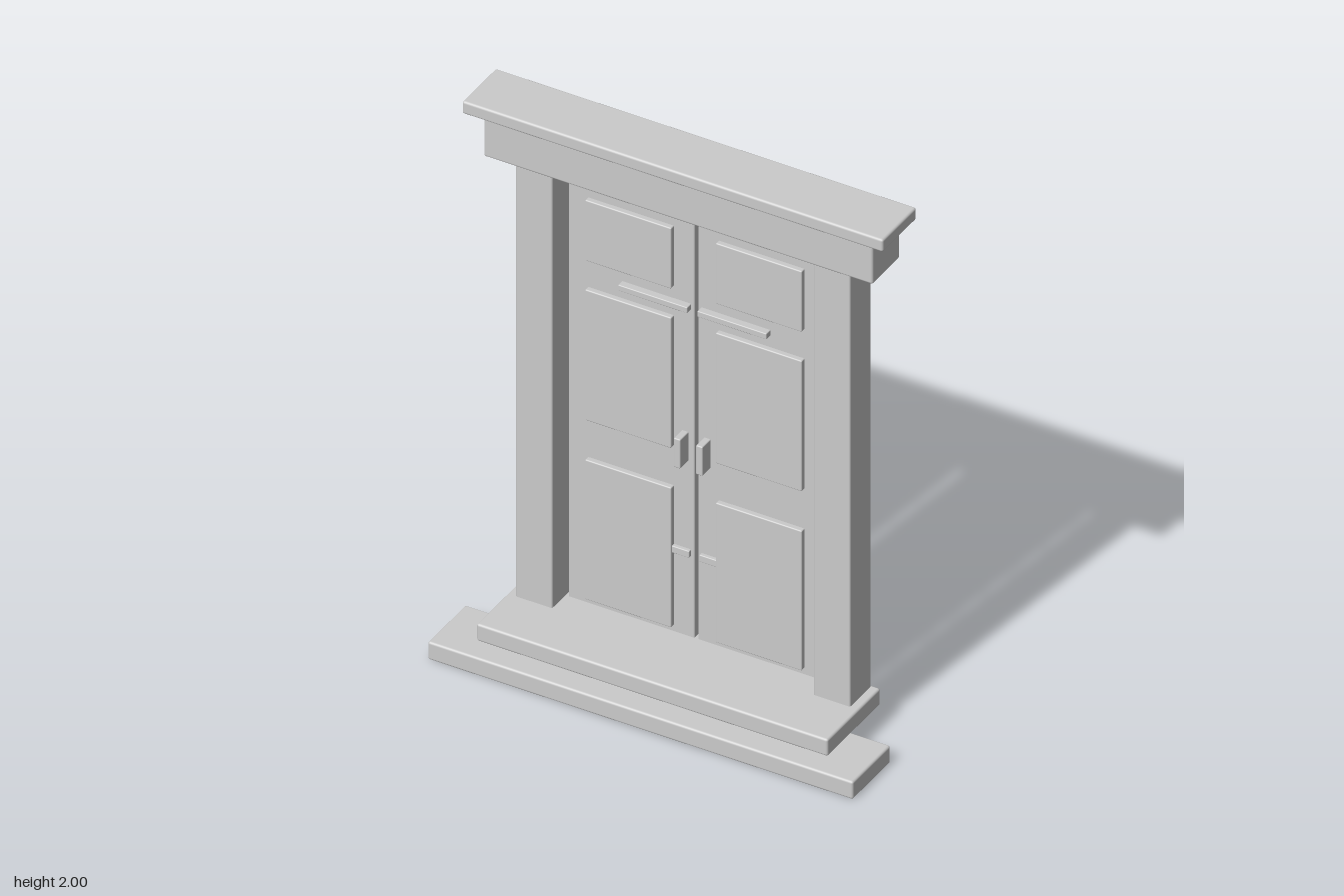
import * as THREE from 'three';
import { RoundedBoxGeometry } from 'three/addons/geometries/RoundedBoxGeometry.js';

const material = new THREE.MeshStandardMaterial({ color: 0xcccccc });

// Box with softened edges, given by its [min, max] range on each axis
function block(name, [x0, x1], [y0, y1], [z0, z1], radius = 0.008) {
  const geometry = new RoundedBoxGeometry(x1 - x0, y1 - y0, z1 - z0, 2, radius);
  const mesh = new THREE.Mesh(geometry, material);
  mesh.position.set((x0 + x1) / 2, (y0 + y1) / 2, (z0 + z1) / 2);
  mesh.name = name;
  return mesh;
}

export function createModel() {
  const model = new THREE.Group();
  model.name = 'doubleDoorway';

  // Steps
  model.add(block('lowerStep', [-0.765, 0.765], [0, 0.067], [-0.03, 0.205]));
  model.add(block('upperStep', [-0.632, 0.632], [0.073, 0.137], [-0.197, 0.132]));

  // Lintel and cornice
  model.add(block('lintel', [-0.7, 0.7], [1.79, 1.947], [-0.2, -0.03]));
  model.add(block('cornice', [-0.757, 0.757], [1.953, 2], [-0.205, 0.005]));

  // Panel heights from bottom to top
  const panelRows = [[0.16, 0.69], [0.84, 1.335], [1.445, 1.675]];

  for (const [label, side] of [['left', 1], ['right', -1]]) {
    // Mirrors an x range onto this side
    const mx = (a, b) => (side > 0 ? [a, b] : [-b, -a]);

    model.add(block(`${label}Post`, mx(0.47, 0.602), [0.13, 1.795], [-0.19, -0.06], 0.006));

    // Door leaf with raised panels, rails and handle
    const door = new THREE.Group();
    door.name = `${label}Door`;
    door.add(block('leaf', mx(0.006, 0.46), [0.125, 1.737], [-0.173, -0.143], 0.005));
    for (const row of panelRows) {
      door.add(block('panel', mx(0.08, 0.39), row, [-0.155, -0.125], 0.004));
    }
    door.add(block('upperRail', mx(0.018, 0.267), [1.378, 1.4], [-0.15, -0.118], 0.003));
    door.add(block('lowerRail', mx(0.018, 0.267), [0.442, 0.468], [-0.15, -0.13], 0.003));
    door.add(block('handle', mx(0.028, 0.052), [0.8, 0.91], [-0.15, -0.092], 0.004));
    model.add(door);
  }

  return model;
}
